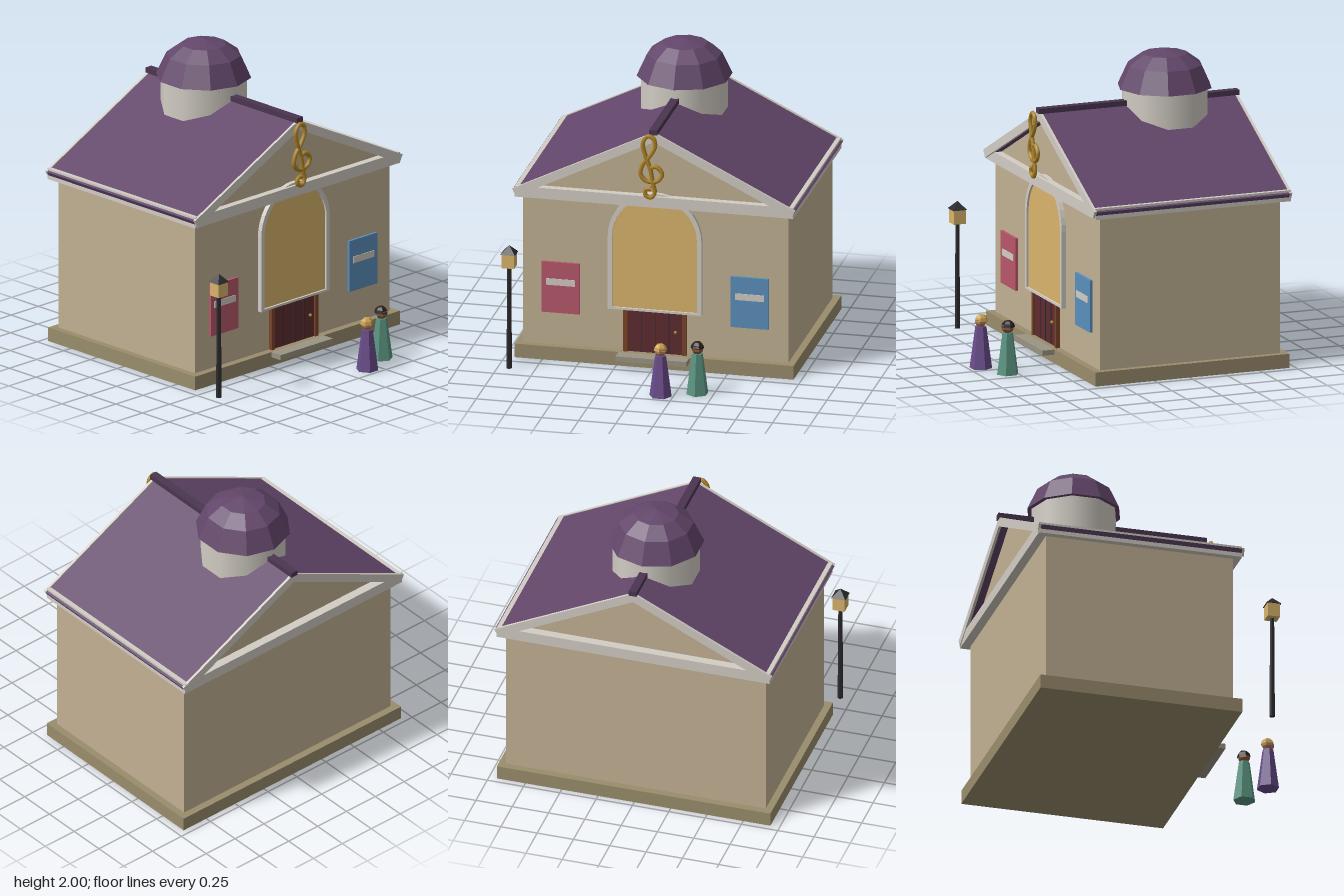
import * as THREE from 'three';

const mat = (color, flat = false) => new THREE.MeshStandardMaterial({ color, flatShading: flat, side: THREE.DoubleSide });
const WALL = mat(0xc2b193), TRIM = mat(0xd2cdc4), ROOF = mat(0x62466a, true), RIDGE = mat(0x4a3550),
  STONE = mat(0x9a8d6c), STEP = mat(0x9a9482), GOLD = mat(0xb08528), GLASS = mat(0xd9b56c),
  DOOR = mat(0x5e2c30), DOORFRAME = mat(0x7a4428), DARK = mat(0x2c2c30, true);

export function createModel() {
  const root = new THREE.Group();
  const hall = new THREE.Group();
  hall.name = 'hall';
  hall.position.x = 0.005;
  root.add(hall);

  const add = (parent, name, geometry, material, x = 0, y = 0, z = 0) => {
    const m = new THREE.Mesh(geometry, material);
    m.name = name;
    m.position.set(x, y, z);
    parent.add(m);
    return m;
  };
  // Box given by its limits on each axis
  const box = (parent, name, material, x0, x1, y0, y1, z0, z1) =>
    add(parent, name, new THREE.BoxGeometry(x1 - x0, y1 - y0, z1 - z0), material,
      (x0 + x1) / 2, (y0 + y1) / 2, (z0 + z1) / 2);
  const polygon = pts => new THREE.Shape(pts.map(p => new THREE.Vector2(...p)));
  const extrude = (name, shape, material, z0, z1) =>
    add(hall, name, new THREE.ExtrudeGeometry(shape, { depth: z1 - z0, bevelEnabled: false, curveSegments: 10 }),
      material, 0, 0, z0);

  // Base, gabled walls and cornice
  box(hall, 'base', STONE, -0.942, 0.942, 0, 0.095, -0.96, 0.42);
  extrude('walls', polygon([[-0.895, 0.09], [0.895, 0.09], [0.895, 1.17], [0, 1.61], [-0.895, 1.17]]), WALL, -0.91, 0.37);
  box(hall, 'cornice', TRIM, -0.94, 0.94, 1.125, 1.2, -0.97, 0.42);

  // Roof and rake boards share one chevron profile
  const chevron = d => polygon([[-0.955, 1.178 + d], [0, 1.648 + d], [0.955, 1.178 + d],
    [0.928, 1.133], [0, 1.588], [-0.928, 1.133]]);
  extrude('roof', chevron(0), ROOF, -0.957, 0.415);
  extrude('frontRakeBoard', chevron(0.006), TRIM, 0.415, 0.433);
  extrude('backRakeBoard', chevron(0.006), TRIM, -0.975, -0.957);
  box(hall, 'ridgeCap', RIDGE, -0.027, 0.027, 1.64, 1.675, -0.983, 0.443);

  // Ten-sided drum and dome
  add(hall, 'drum', new THREE.CylinderGeometry(0.288, 0.288, 0.3, 10), TRIM, 0, 1.61, -0.462);
  const profile = [[0, 1.745], [0.317, 1.745], [0.248, 1.895], [0.15, 1.967], [0, 2]];
  add(hall, 'dome', new THREE.LatheGeometry(profile.map(p => new THREE.Vector2(...p)), 10), ROOF, 0, 0, -0.462);

  // Arched window with surround
  const arch = (r, y0) => {
    const s = new THREE.Shape();
    s.moveTo(-r, y0);
    s.lineTo(r, y0);
    s.lineTo(r, 0.9);
    s.absarc(0, 0.9, r, 0, Math.PI, false);
    s.lineTo(-r, y0);
    return s;
  };
  const surround = arch(0.316, 0.385);
  surround.holes.push(arch(0.286, 0.4));
  extrude('windowSurround', surround, TRIM, 0.365, 0.402);
  extrude('windowPane', arch(0.288, 0.398), GLASS, 0.365, 0.388);

  // Door of planks, frame, handle and step
  for (const s of [-1, 1]) {
    const x = s * 0.199;
    box(hall, 'doorPost', DOORFRAME, x - 0.014, x + 0.014, 0.09, 0.39, 0.365, 0.398);
  }
  box(hall, 'doorLintel', DOORFRAME, -0.213, 0.213, 0.383, 0.398, 0.365, 0.396);
  box(hall, 'door', DOOR, -0.188, 0.188, 0.09, 0.385, 0.365, 0.384);
  for (let i = -1; i <= 1; i++)
    box(hall, 'plankGroove', DARK, i * 0.094 - 0.002, i * 0.094 + 0.002, 0.1, 0.383, 0.38, 0.387);
  add(hall, 'doorHandle', new THREE.SphereGeometry(0.012, 8, 6), GOLD, 0.14, 0.255, 0.398);
  box(hall, 'step', STEP, -0.24, 0.24, 0.06, 0.095, 0.42, 0.507);

  // Wall posters
  for (const [s, color] of [[-1, 0xb8586a], [1, 0x5a8fbc]]) {
    const x = s * 0.638;
    box(hall, 'poster', mat(color), x - 0.128, x + 0.128, 0.322, 0.675, 0.365, 0.388);
    box(hall, 'posterStripe', TRIM, x - 0.097, x + 0.097, 0.515, 0.56, 0.38, 0.392);
  }

  // Clef ornament in front of the gable
  const path = [[-0.01, 1.42], [0.03, 1.43], [0.07, 1.385], [0.045, 1.335], [-0.03, 1.325], [-0.075, 1.37],
    [-0.06, 1.44], [-0.01, 1.505], [0.022, 1.57], [0.012, 1.625], [-0.025, 1.64], [-0.06, 1.59], [-0.045, 1.51],
    [-0.01, 1.41], [0.008, 1.31], [0.02, 1.25], [0, 1.215], [-0.04, 1.225], [-0.042, 1.265], [-0.005, 1.275]];
  const curve = new THREE.CatmullRomCurve3(path.map(p => new THREE.Vector3(p[0], p[1], 0)));
  add(hall, 'clefOrnament', new THREE.TubeGeometry(curve, 90, 0.015, 6), GOLD, -0.004, 0, 0.467);

  // Street lamp
  const lamp = new THREE.Group();
  lamp.name = 'streetLamp';
  lamp.position.set(-0.923, 0, 0.628);
  root.add(lamp);
  add(lamp, 'lampPost', new THREE.CylinderGeometry(0.014, 0.019, 0.71, 6), DARK, 0, 0.355, 0);
  box(lamp, 'lantern', GLASS, -0.042, 0.042, 0.71, 0.805, -0.042, 0.042);
  add(lamp, 'lampCap', new THREE.ConeGeometry(0.07, 0.055, 4), DARK, 0, 0.832, 0).rotation.y = Math.PI / 4;

  // Visitors in long robes
  const visitor = (x, z, turn, robe, skin, hair) => {
    const g = new THREE.Group();
    g.name = 'visitor';
    g.position.set(x, 0, z);
    g.rotation.y = turn;
    root.add(g);
    add(g, 'robe', new THREE.CylinderGeometry(0.037, 0.075, 0.28, 6), mat(robe, true), 0, 0.14, 0);
    add(g, 'head', new THREE.SphereGeometry(0.042, 6, 5), mat(skin, true), 0, 0.315, 0);
    add(g, 'hair', new THREE.SphereGeometry(0.046, 6, 3, 0, Math.PI * 2, 0, Math.PI / 2), mat(hair, true), 0, 0.317, -0.004);
  };
  visitor(0.165, 0.912, Math.PI / 6, 0x6a4c8c, 0xa87858, 0xc8a050);
  visitor(0.39, 0.815, 0, 0x5a9480, 0x8a5a40, 0x2a2422);

  return root;
}
